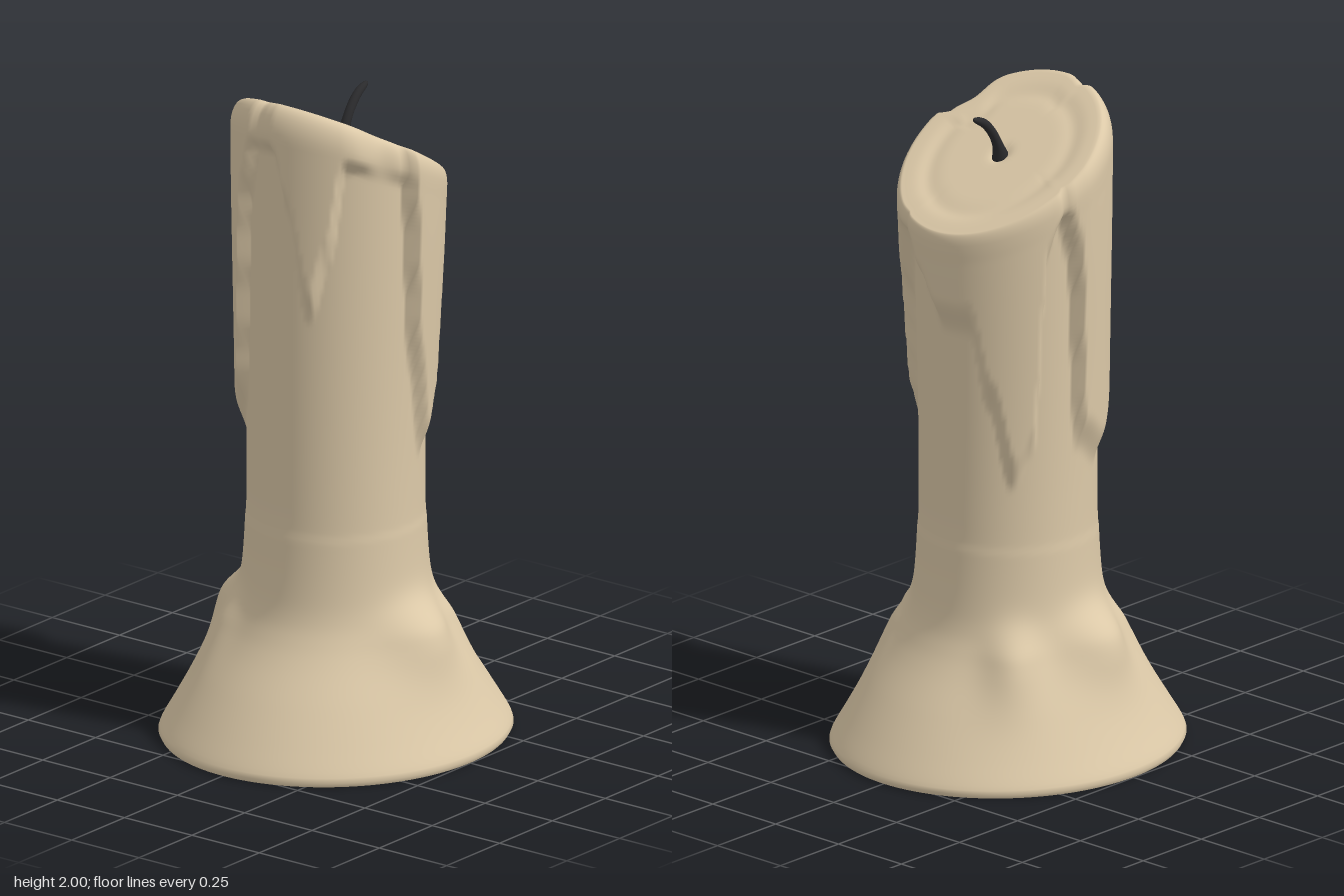
import * as THREE from 'three';

const SEG = 160, ROWS = 140, ROUND = 8, CAP = 28;

// Height where the running wax ends, by angle in degrees (0 = front, 90 = +x)
const DRIPS = [[0, 1.82], [6, 1.7], [22, 1.38], [33, 1.55], [44, 1.84], [65, 1.88], [82, 1.82],
  [92, 1.2], [105, 0.92], [117, 1.02], [128, 1.4], [145, 1.6], [155, 1.61], [166, 1.48], [180, 1.38],
  [200, 1.38], [212, 1.15], [226, 0.9], [238, 1.0], [246, 1.6], [255, 1.72], [263, 1.6], [272, 1.0],
  [295, 0.93], [318, 1.05], [329, 1.7], [343, 1.92], [354, 1.9], [360, 1.82]];

// Plain candle radius by height, flaring into the wax pool
const PROFILE = [[0, 0.535], [0.02, 0.54], [0.1, 0.492], [0.2, 0.425], [0.3, 0.352], [0.36, 0.315],
  [0.42, 0.29], [0.5, 0.276], [0.65, 0.266], [0.85, 0.261], [2.1, 0.261]];

// Lumps where the runs meet the pool: angle, width, size, height
const LUMPS = [[90, 22, 0.065, 0.37], [128, 9, 0.03, 0.36], [226, 14, 0.05, 0.36],
  [278, 22, 0.07, 0.38], [318, 12, 0.03, 0.36]];

const smooth = (t) => { t = Math.min(1, Math.max(0, t)); return t * t * (3 - 2 * t); };
const bell = (t) => Math.exp(-t * t);

function lookup(table, x, ease) {
  let i = 1;
  while (i < table.length - 1 && x > table[i][0]) i++;
  const [x0, a] = table[i - 1], [x1, b] = table[i];
  const t = (x - x0) / (x1 - x0);
  return a + (b - a) * (ease ? smooth(t) : t);
}

const profileCurve = new THREE.SplineCurve(PROFILE.map((p) => new THREE.Vector2(...p)));
const fineProfile = profileCurve.getPoints(200).map((p) => [p.x, p.y]);

// Side radius at an angle (degrees) and height
function sideRadius(deg, y) {
  const grow = smooth((y - 0.8) / 1.1) * (1 - Math.max(0, Math.cos(deg * Math.PI / 180)));
  const end = lookup(DRIPS, deg, true);
  let r = lookup(fineProfile, y, false) + 0.017 * grow;
  r += (0.034 + 0.016 * grow) * smooth((y - end + 0.05) / 0.13);
  for (const [a, w, size, h] of LUMPS) {
    const d = ((deg - a + 540) % 360) - 180;
    r += size * bell(d / w) * bell((y - h) / (y > h ? 0.075 : 0.13));
  }
  return r;
}

// Sloping top with a ring-shaped hollow and a dip round the wick
function topHeight(z, s) {
  return 1.85 + 0.6 * z - 0.008 * bell((s - 0.74) / 0.09) - 0.004 * smooth((0.8 - s) / 0.2)
    - 0.018 * bell(s / 0.08);
}

function waxGeometry() {
  const pos = [], index = [];
  const rows = ROWS + ROUND + CAP;
  for (let i = 0; i < SEG; i++) {
    const deg = i * 360 / SEG, a = deg * Math.PI / 180;
    const sin = Math.sin(a), cos = Math.cos(a);
    // rim rounding is broad at the high front and tight at the low back
    const inset = 0.028 + 0.018 * cos, drop = 0.065 + 0.03 * cos;
    const rim = sideRadius(deg, 1.8 + 0.15 * cos);
    const top = topHeight((rim - inset) * cos, 1);
    const put = (r, y, z = 0) => {
      const squash = 1 - 0.07 * smooth((0.45 - y) / 0.4);
      pos.push(r * sin * squash, y, r * cos + z);
    };
    for (let j = 0; j < ROWS; j++) {
      const y = (top - drop) * j / (ROWS - 1);
      put(THREE.MathUtils.lerp(sideRadius(deg, y), rim, smooth((y - top + drop + 0.06) / 0.06)), y);
    }
    for (let j = 1; j <= ROUND; j++) {
      const t = j / ROUND * Math.PI / 2;
      put(rim - inset * (1 - Math.cos(t)), top - drop + drop * Math.sin(t));
    }
    for (let j = 1; j <= CAP; j++) {
      const s = 1 - j / CAP, r = (rim - inset) * s, shift = -0.03 * (1 - s);
      put(r, topHeight(r * cos + shift, s), shift);
    }
  }
  for (let i = 0; i < SEG; i++) {
    for (let j = 0; j < rows - 1; j++) {
      const n = (i + 1) % SEG;
      const p = i * rows + j, q = n * rows + j;
      index.push(p, q, q + 1);
      if (j < rows - 2) index.push(p, q + 1, p + 1);
    }
  }
  const g = new THREE.BufferGeometry();
  g.setAttribute('position', new THREE.Float32BufferAttribute(pos, 3));
  g.setIndex(index);
  g.computeVertexNormals();
  return g;
}

// Bent wick, thick at the foot and narrow at the tip
function wickGeometry() {
  const path = new THREE.CatmullRomCurve3([[1.80, -0.028], [1.85, -0.042], [1.9, -0.068],
    [1.94, -0.105], [1.963, -0.15]].map(([y, z]) => new THREE.Vector3(0, y, z)));
  const rings = 30, sides = 14;
  const g = new THREE.TubeGeometry(path, rings, 1, sides);
  const p = g.attributes.position, v = new THREE.Vector3();
  for (let i = 0; i <= rings; i++) {
    const t = i / rings, c = path.getPointAt(t);
    const r = (0.014 + 0.014 * bell(t / 0.2)) * Math.sqrt(Math.max(0, 1 - Math.pow(t, 8)));
    for (let k = 0; k <= sides; k++) {
      const n = i * (sides + 1) + k;
      v.fromBufferAttribute(p, n).sub(c).multiplyScalar(r).add(c);
      p.setXYZ(n, v.x, v.y, v.z);
    }
  }
  return g;
}

export function createModel() {
  const group = new THREE.Group();
  const wax = new THREE.MeshStandardMaterial({ color: 0xdcc9a8 });
  const add = (name, geometry, material) => {
    const mesh = new THREE.Mesh(geometry, material);
    mesh.name = name;
    group.add(mesh);
    return mesh;
  };
  add('waxBody', waxGeometry(), wax);

  // Flat underside
  const base = add('underside', new THREE.CircleGeometry(0.535, SEG), wax);
  base.rotation.x = Math.PI / 2;
  base.scale.x = 0.93;

  add('wick', wickGeometry(), new THREE.MeshStandardMaterial({ color: 0x2b2b2d }));
  return group;
}
